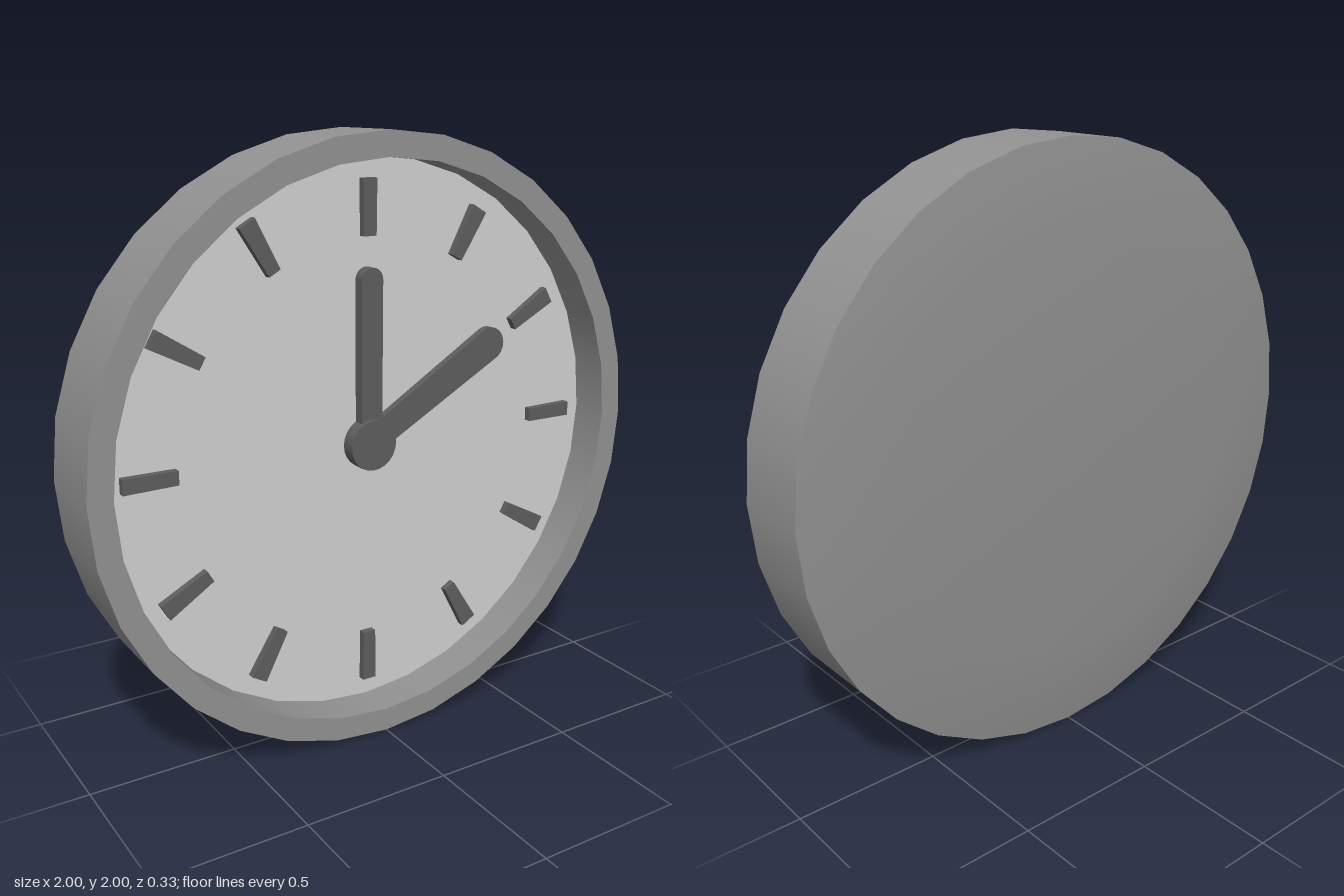
import * as THREE from 'three';

const SIDES = 32;
const FACE_Z = 0.03;

export function createModel() {
  const caseGrey = new THREE.MeshStandardMaterial({ color: 0x929292 });
  caseGrey.name = 'caseGrey';
  const faceGrey = new THREE.MeshStandardMaterial({ color: 0xd2d2d2 });
  faceGrey.name = 'faceGrey';
  const darkGrey = new THREE.MeshStandardMaterial({ color: 0x5e5e5e });
  darkGrey.name = 'darkGrey';

  const clock = new THREE.Group();
  clock.name = 'wallClock';
  const dial = new THREE.Group();
  dial.name = 'dial';
  dial.position.y = 1;
  clock.add(dial);

  function add(name, geometry, material, z = 0, angle = 0) {
    const mesh = new THREE.Mesh(geometry, material);
    mesh.name = name;
    mesh.position.z = z;
    mesh.rotation.z = angle;
    dial.add(mesh);
    return mesh;
  }

  // Round case: one lathe per smooth band, so the edges between them stay sharp
  const bands = {
    caseBack: [[0, -0.165], [0.69, -0.165], [1, -0.12]],
    caseSide: [[1, -0.12], [1, 0.165]],
    rimFront: [[1, 0.165], [0.92, 0.165]],
    rimInside: [[0.92, 0.165], [0.92, FACE_Z]],
  };
  for (const [name, profile] of Object.entries(bands)) {
    const points = profile.map(([r, z]) => new THREE.Vector2(r, z));
    add(name, new THREE.LatheGeometry(points, SIDES).rotateX(Math.PI / 2), caseGrey);
  }

  // Clock face
  add('face', new THREE.CircleGeometry(0.92, SIDES), faceGrey, FACE_Z);

  const extrude = (shape, depth) =>
    new THREE.ExtrudeGeometry(shape, { depth, bevelEnabled: false, curveSegments: 10 });

  // Hour marks: quarter marks are straight, the others narrow towards the centre
  for (let i = 0; i < 12; i++) {
    const quarter = i % 3 === 0;
    const inner = quarter ? 0.023 : 0.022;
    const outer = quarter ? 0.025 : 0.03;
    const mark = new THREE.Shape([
      new THREE.Vector2(-inner, 0.675),
      new THREE.Vector2(inner, 0.675),
      new THREE.Vector2(outer, 0.853),
      new THREE.Vector2(-outer, 0.853),
    ]);
    add('hourMark' + i, extrude(mark, 0.025), darkGrey, FACE_Z, -i * Math.PI / 6);
  }

  // Hands with rounded tips
  function handShape(baseHalf, tipHalf, length) {
    const s = new THREE.Shape();
    s.moveTo(-baseHalf, 0);
    s.lineTo(baseHalf, 0);
    s.lineTo(tipHalf, length);
    s.absarc(0, length, tipHalf, 0, Math.PI, false);
    s.closePath();
    return s;
  }
  add('hourHand', extrude(handShape(0.046, 0.058, 0.558), 0.028), darkGrey, FACE_Z, -Math.PI / 3);
  add('minuteHand', extrude(handShape(0.039, 0.04, 0.538), 0.038), darkGrey, FACE_Z);

  // Centre cap
  add('centreCap', new THREE.CylinderGeometry(0.085, 0.085, 0.052, 24).rotateX(Math.PI / 2),
    darkGrey, FACE_Z + 0.026);

  return clock;
}
